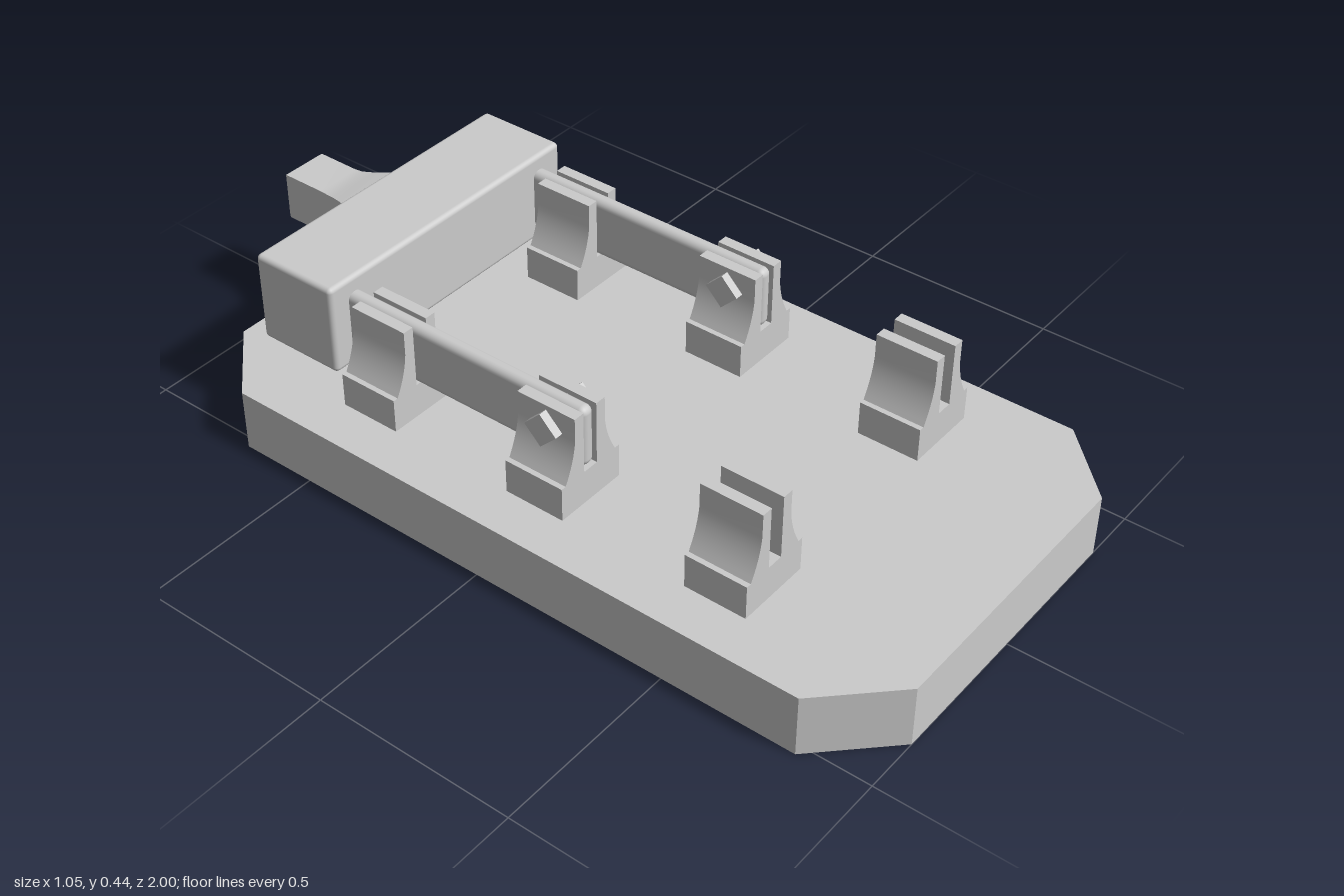
import * as THREE from 'three';
import { toCreasedNormals } from 'three/addons/utils/BufferGeometryUtils.js';
import { RoundedBoxGeometry } from 'three/addons/geometries/RoundedBoxGeometry.js';

const material = new THREE.MeshStandardMaterial({ color: 0xcccccc });

function part(name, geometry, x = 0, y = 0, z = 0) {
  const mesh = new THREE.Mesh(geometry, material);
  mesh.name = name;
  mesh.position.set(x, y, z);
  return mesh;
}

// Slab with four cut corners
function baseGeometry() {
  const outline = [[-0.36, -1], [0.36, -1], [0.525, -0.835], [0.525, 0.695],
    [0.36, 0.86], [-0.36, 0.86], [-0.525, 0.695], [-0.525, -0.835]];
  const shape = new THREE.Shape(outline.map(([x, y]) => new THREE.Vector2(x, y)));
  return new THREE.ExtrudeGeometry(shape, { depth: 0.155, bevelEnabled: false }).rotateX(-Math.PI / 2);
}

// Two flared prongs on a block, with a slot between them
function clipGeometry() {
  const s = new THREE.Shape();
  s.moveTo(-0.095, 0.15);
  s.lineTo(0.095, 0.15);
  s.lineTo(0.095, 0.24);
  s.lineTo(0.082, 0.24);
  s.quadraticCurveTo(0.054, 0.29, 0.049, 0.34);
  s.lineTo(0.049, 0.398);
  s.lineTo(0.021, 0.398);
  s.lineTo(0.021, 0.24);
  s.lineTo(-0.021, 0.24);
  s.lineTo(-0.021, 0.398);
  s.lineTo(-0.049, 0.398);
  s.lineTo(-0.049, 0.34);
  s.quadraticCurveTo(-0.054, 0.29, -0.082, 0.24);
  s.lineTo(-0.095, 0.24);
  s.closePath();
  const g = new THREE.ExtrudeGeometry(s, { depth: 0.155, bevelEnabled: false, curveSegments: 8 });
  return toCreasedNormals(g.translate(0, 0, -0.0775), 0.5);
}

// Rectangular grip that flares towards the crossbar: [z, half width, half height]
function handleGeometry() {
  const sections = [[-0.74, 0.102, 0.086], [-0.77, 0.09, 0.08], [-0.8, 0.079, 0.074],
    [-0.83, 0.069, 0.067], [-0.86, 0.062, 0.061], [-0.88, 0.06, 0.06],
    [-0.992, 0.06, 0.06], [-1, 0.054, 0.054]];
  const n = sections.length - 1;
  const g = new THREE.BoxGeometry(2, 2, n, 1, 1, n);
  const p = g.attributes.position;
  for (let i = 0; i < p.count; i++) {
    const [z, w, h] = sections[Math.round(n / 2 - p.getZ(i))];
    p.setXYZ(i, p.getX(i) * w, p.getY(i) * h, z);
  }
  return toCreasedNormals(g, 0.5);
}

export function createModel() {
  const model = new THREE.Group();
  model.name = 'knifeSwitch';
  model.add(part('base', baseGeometry()));

  const clip = clipGeometry();
  const blade = new RoundedBoxGeometry(0.04, 0.155, 0.685, 4, 0.018);
  // Four-sided pivot pin lying along x, standing on a corner
  const pin = new THREE.CylinderGeometry(0.043, 0.043, 0.14, 4).toNonIndexed();
  pin.rotateZ(Math.PI / 2);
  pin.computeVertexNormals();

  for (const [side, x] of [['left', 0.315], ['right', -0.315]]) {
    model.add(part(side + 'FrontClip', clip, x, 0, 0.547));
    model.add(part(side + 'PivotClip', clip, x, 0, 0.07));
    model.add(part(side + 'RearClip', clip, x, 0, -0.407));
    model.add(part(side + 'Blade', blade, x, 0.32, -0.1975));
    model.add(part(side + 'PivotPin', pin, x, 0.344, 0.07));
  }

  model.add(part('crossbar', new RoundedBoxGeometry(0.78, 0.227, 0.23, 3, 0.012), 0, 0.3235, -0.637));
  model.add(part('handle', handleGeometry(), 0, 0.323, 0));
  return model;
}
